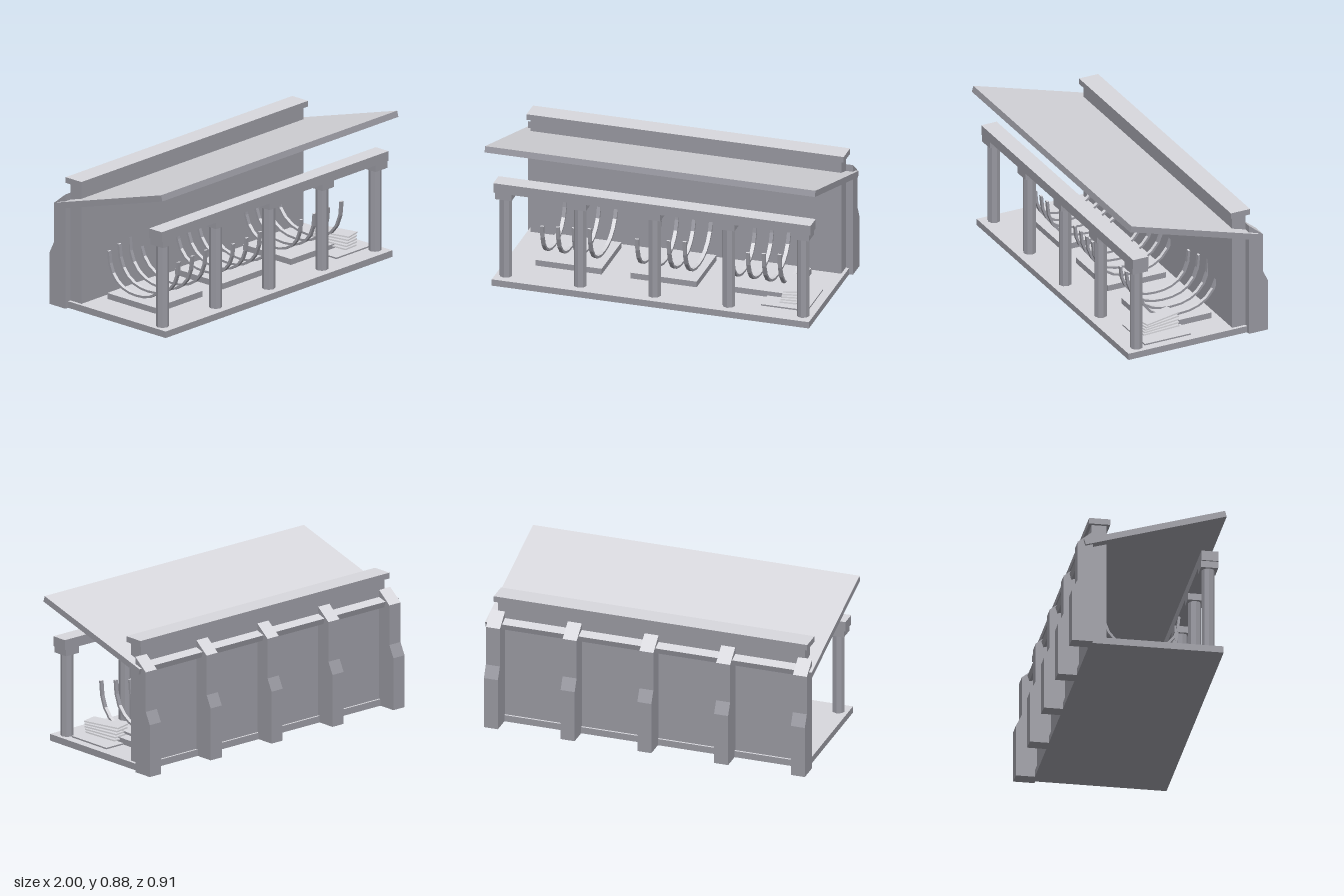
import * as THREE from 'three';

const stone = new THREE.MeshStandardMaterial({ color: 0x96969e });
stone.name = 'grey stone';
const pale = new THREE.MeshStandardMaterial({ color: 0xd7d7dc });
pale.name = 'pale upper surface';

// Flat-shades a geometry and groups its faces: 0 for sides and undersides, 1 for upward faces
function splitUpward(source) {
  const geometry = source.index ? source.toNonIndexed() : source;
  geometry.computeVertexNormals();
  geometry.clearGroups();
  const normal = geometry.attributes.normal;
  for (let i = 0; i < normal.count; i += 3) {
    const slot = normal.getY(i) > 0.5 ? 1 : 0;
    const last = geometry.groups.at(-1);
    if (last && last.materialIndex === slot) last.count += 3;
    else geometry.addGroup(i, 3, slot);
  }
  return geometry;
}

export function createModel() {
  const model = new THREE.Group();
  model.name = 'colonnadeShelter';

  const add = (name, geometry, sides = stone) => {
    const mesh = new THREE.Mesh(splitUpward(geometry), [sides, pale]);
    mesh.name = name;
    model.add(mesh);
    return mesh;
  };
  // Box given by its min and max on each axis
  const box = (name, x0, x1, y0, y1, z0, z1) => {
    const mesh = add(name, new THREE.BoxGeometry(x1 - x0, y1 - y0, z1 - z0));
    mesh.position.set((x0 + x1) / 2, (y0 + y1) / 2, (z0 + z1) / 2);
  };
  // Side profile of [z, y] points, extruded along x and centred on x
  const sideExtrude = (name, points, width, x) => {
    const shape = new THREE.Shape(points.map(([z, y]) => new THREE.Vector2(-z, y)));
    const geometry = new THREE.ExtrudeGeometry(shape, { depth: width, bevelEnabled: false });
    geometry.translate(0, 0, -width / 2).rotateY(Math.PI / 2);
    add(name, geometry).position.x = x;
  };

  // Floor, back wall and coping
  box('floor', -0.96, 0.96, 0, 0.04, -0.34, 0.442);
  box('backWall', -0.94, 0.94, 0.04, 0.76, -0.328, -0.24);
  box('wallCoping', -0.96, 0.96, 0.76, 0.795, -0.346, -0.222);

  // Sloping roof that passes through the wall
  const roof = add('roof', new THREE.BoxGeometry(2, 0.037, 0.861));
  roof.position.set(0, 0.745, 0.035);
  roof.rotation.x = -0.287;

  // Stepped buttresses behind the wall
  const buttress = [[-0.327, 0], [-0.452, 0], [-0.452, 0.315], [-0.417, 0.387],
    [-0.417, 0.627], [-0.327, 0.7]];
  for (let i = -2; i <= 2; i++) sideExtrude('buttress', buttress, 0.086, i * 0.47);

  // Front colonnade
  for (let i = -2; i <= 2; i++) {
    const x = i * 0.45;
    add('column', new THREE.CylinderGeometry(0.038, 0.038, 0.5, 8)).position.set(x, 0.29, 0.361);
    box('columnCapital', x - 0.05, x + 0.05, 0.54, 0.58, 0.312, 0.412);
  }
  box('frontBeam', -0.96, 0.96, 0.58, 0.64, 0.312, 0.412);

  // Curved rib: outer edge, then the inner edge offset along its normal
  const ribProfile = (halfWidth, height) => {
    const outer = [];
    const inner = [];
    for (let i = -6; i <= 6; i++) {
      const t = Math.abs(i) / 6;
      const a = (i / 6) * Math.PI / 2;
      const z = halfWidth * Math.sin(a);
      const y = 0.088 + height * Math.pow(t, 2.2);
      outer.push([z, y]);
      inner.unshift([z - 0.014 * Math.sin(a), y + 0.014 * Math.cos(a)]);
    }
    return [...outer, ...inner];
  };

  // Three plinths, each with four ribs growing towards the left side
  for (const cx of [-0.575, 0, 0.575]) {
    box('plinth', cx - 0.2, cx + 0.2, 0.04, 0.076, -0.19, 0.187);
    for (let i = 0; i < 4; i++) {
      const profile = ribProfile(0.228 + i * 0.013, 0.226 + i * 0.0145);
      sideExtrude('rib', profile, 0.022, cx - 0.15 + i * 0.1);
    }
  }

  // Low slab with a fanned stack of sheets
  box('stackSlab', 0.628, 0.908, 0.04, 0.049, 0.01, 0.31);
  for (let i = 0; i < 5; i++) {
    const sheet = add('stackedSheet', new THREE.BoxGeometry(0.1, 0.009, 0.238), pale);
    sheet.position.set(0.776, 0.065 + i * 0.0176, 0.162);
    sheet.rotation.y = 0.06 + i * 0.045;
  }

  return model;
}
